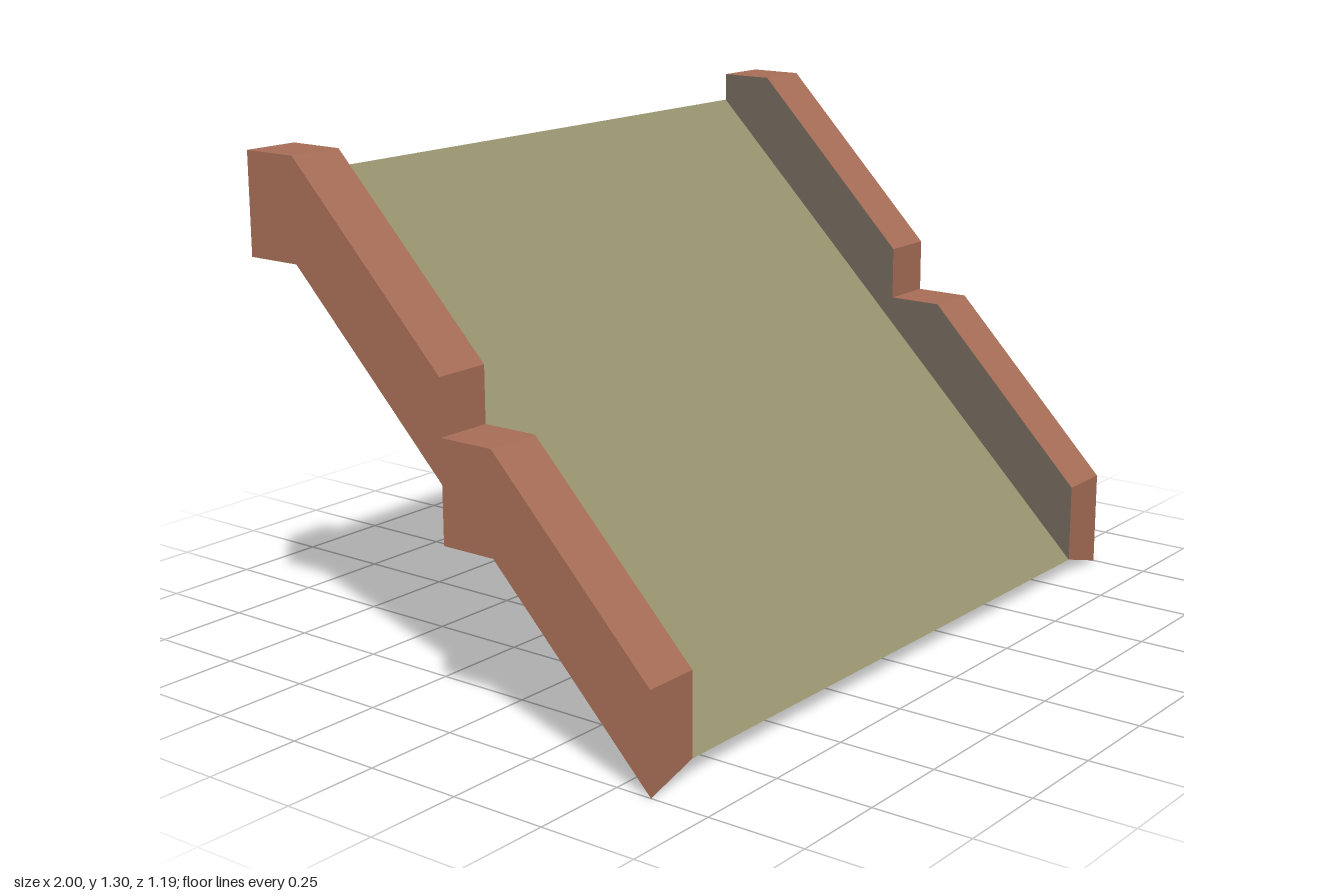
import * as THREE from 'three';

const mat = (name, color) => {
  const m = new THREE.MeshStandardMaterial({ color, side: THREE.DoubleSide });
  m.name = name;
  return m;
};

const OUT = 1, IN = 0.853;
const BACK = -0.595, FRONT = 0.595;
const deckY = z => 0.042 + (FRONT - z) / (FRONT - BACK) * 1.183;

// Rail profiles as [z, y], running from front to back
const TOP = [[FRONT, 0.25], [0.15, 0.707], [0, 0.707], [0, 0.847], [-0.445, 1.3], [BACK, 1.3]];
const BOTTOM = [[FRONT, 0], [0.15, 0.453], [0, 0.453], [0, 0.597], [-0.445, 1.047], [BACK, 1.047]];

// Flat faces from planar convex corner loops, counter-clockwise from the front
function faces(loops) {
  const pos = [];
  for (const c of loops)
    for (let i = 1; i < c.length - 1; i++) pos.push(...c[0], ...c[i], ...c[i + 1]);
  const g = new THREE.BufferGeometry();
  g.setAttribute('position', new THREE.Float32BufferAttribute(pos, 3));
  g.computeVertexNormals();
  return g;
}

// Upright panel in the zy plane at a given x
function sidePanel(points, x) {
  const shape = new THREE.Shape(points.map(([z, y]) => new THREE.Vector2(-z, y)));
  return new THREE.ShapeGeometry(shape).rotateY(Math.PI / 2).translate(x, 0, 0);
}

export function createModel() {
  const model = new THREE.Group();
  model.name = 'slopedRamp';
  const brick = mat('brick', 0xa66d56);
  const stone = mat('greyBrown', 0x70645a);
  const olive = mat('olive', 0x97936f);

  const add = (parent, name, geometry, material) => {
    const mesh = new THREE.Mesh(geometry, material);
    mesh.name = name;
    parent.add(mesh);
  };

  // Sloping deck between the rails
  const f = deckY(FRONT), b = deckY(BACK);
  add(model, 'deck', faces([[[-IN, f, FRONT], [IN, f, FRONT], [IN, b, BACK], [-IN, b, BACK]]]), olive);

  // Stepped rails, open underneath
  for (const s of [1, -1]) {
    const rail = new THREE.Group();
    rail.name = s > 0 ? 'leftRail' : 'rightRail';
    model.add(rail);
    const o = s * OUT, i = s * IN;
    const loop = pts => (s > 0 ? pts : pts.slice().reverse());

    add(rail, 'outerSide', sidePanel([...BOTTOM, ...TOP.slice().reverse()], o), brick);
    add(rail, 'innerSide', sidePanel([[FRONT, f], [BACK, b], ...TOP.slice().reverse()], i), stone);

    // Front end, then the coping over each step
    const coping = [loop([[i, f, FRONT], [o, 0, FRONT], [o, 0.25, FRONT], [i, 0.25, FRONT]])];
    for (let k = 0; k < TOP.length - 1; k++) {
      const [z0, y0] = TOP[k], [z1, y1] = TOP[k + 1];
      coping.push(loop([[i, y0, z0], [o, y0, z0], [o, y1, z1], [i, y1, z1]]));
    }
    add(rail, 'coping', faces(coping), brick);

    // Faces turned to the back: the rail end and the notch under the middle step
    add(rail, 'backEnds', faces([
      loop([[o, 1.047, BACK], [i, b, BACK], [i, 1.3, BACK], [o, 1.3, BACK]]),
      loop([[o, 0.453, 0], [i, deckY(0), 0], [o, 0.597, 0]]),
    ]), stone);
  }
  return model;
}
